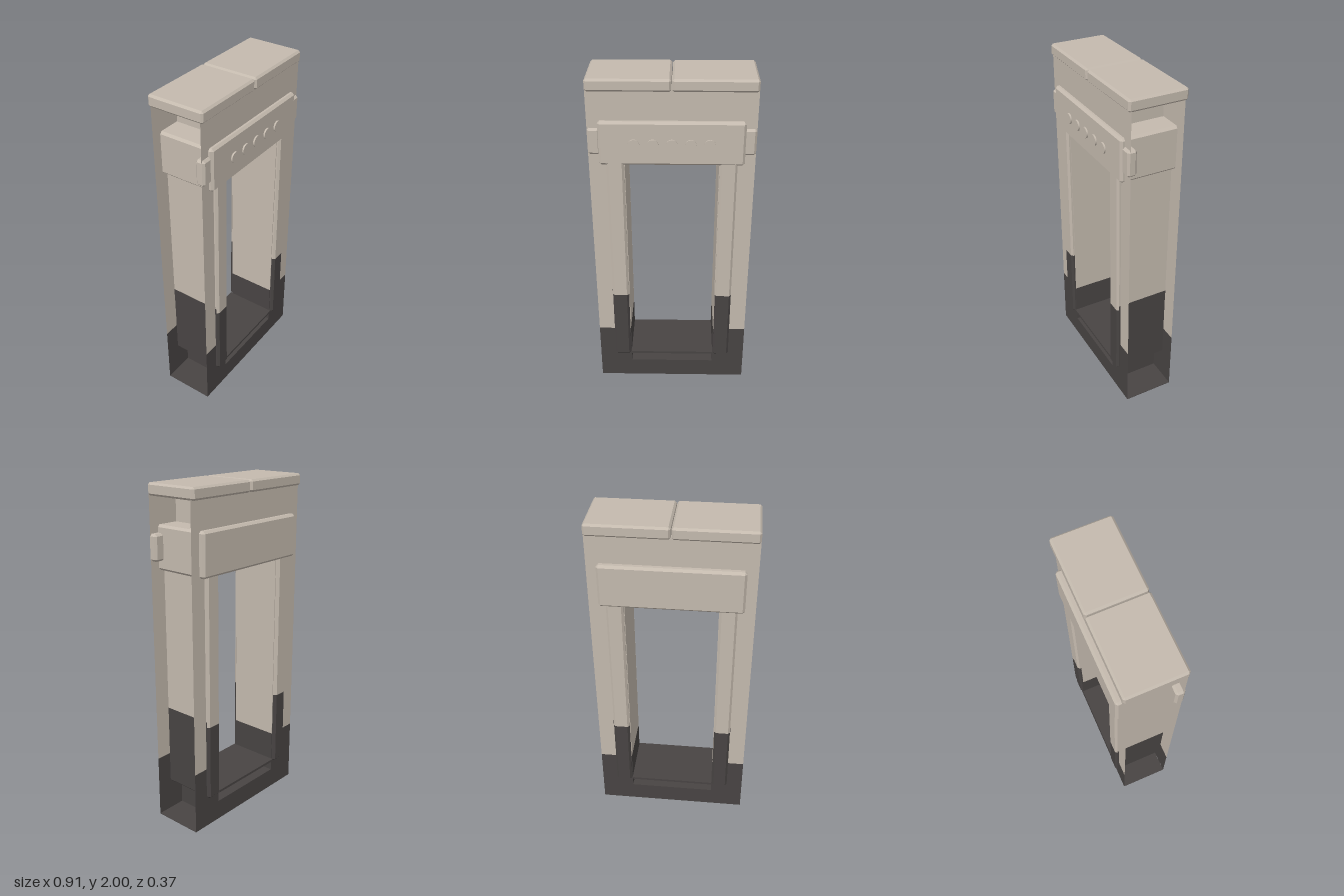
import * as THREE from 'three';
import { ConvexGeometry } from 'three/addons/geometries/ConvexGeometry.js';

const beige = new THREE.MeshStandardMaterial({ name: 'warmBeige', color: 0xc4baae, side: THREE.DoubleSide });
const dark = new THREE.MeshStandardMaterial({ name: 'charcoal', color: 0x484443, side: THREE.DoubleSide });

// Box given by its limits, with chamfered edges; bottom and top chamfers are optional
function chamferBox([x0, x1], [y0, y1], [z0, z1], c, bottom = true, top = true) {
  const points = [];
  const ring = (y, inset) => {
    for (const [x, sx] of [[x0, 1], [x1, -1]]) {
      for (const [z, sz] of [[z0, 1], [z1, -1]]) {
        if (inset) {
          points.push(new THREE.Vector3(x + sx * c, y, z + sz * c));
        } else {
          points.push(new THREE.Vector3(x + sx * c, y, z), new THREE.Vector3(x, y, z + sz * c));
        }
      }
    }
  };
  if (bottom) ring(y0, true);
  ring(bottom ? y0 + c : y0, false);
  ring(top ? y1 - c : y1, false);
  if (top) ring(y1, true);
  return new ConvexGeometry(points);
}

function box([x0, x1], [y0, y1], [z0, z1]) {
  return new THREE.BoxGeometry(x1 - x0, y1 - y0, z1 - z0)
    .translate((x0 + x1) / 2, (y0 + y1) / 2, (z0 + z1) / 2);
}

function plate(points) {
  return new THREE.ShapeGeometry(new THREE.Shape(points.map(([x, y]) => new THREE.Vector2(x, y))));
}

export function createModel() {
  const model = new THREE.Group();
  model.name = 'walkThroughGate';
  const add = (name, geometry, material, parent = model) => {
    const mesh = new THREE.Mesh(geometry, material);
    mesh.name = name;
    parent.add(mesh);
    return mesh;
  };

  const W = 0.453, IN = 0.257, SPLIT = 0.38;
  const depth = [-0.153, 0.149];

  // Front and back frame sheets, dark at the foot
  const upper = plate([[-W, SPLIT], [-IN, SPLIT], [-IN, 1.53], [IN, 1.53], [IN, SPLIT], [W, SPLIT], [W, 1.94], [-W, 1.94]]);
  const lower = plate([[-W, 0], [W, 0], [W, SPLIT], [IN, SPLIT], [IN, 0.12], [-IN, 0.12], [-IN, SPLIT], [-W, SPLIT]]);
  for (const [side, z] of [['front', 0.15], ['back', -0.154]]) {
    for (const [part, geometry, material] of [['FrameUpper', upper, beige], ['FrameFoot', lower, dark]]) {
      const mesh = add(side + part, geometry, material);
      mesh.position.z = z;
      if (side === 'back') mesh.rotation.y = Math.PI;
    }
  }

  // Base sheet and the core blocks between the frame sheets
  add('baseSheet', box([-W, W], [0, 0.003], depth), dark);
  add('baseCore', box([-IN, IN], [0.003, 0.12], depth), dark);
  add('topCore', box([-IN, IN], [1.53, 1.935], depth), beige);
  add('threshold', box([-IN, IN], [0.185, 0.2], [-0.165, 0.16]), dark);

  // Pillars, passage walls and side knobs, mirrored
  for (const s of [1, -1]) {
    const group = new THREE.Group();
    group.name = s > 0 ? 'leftPillar' : 'rightPillar';
    model.add(group);
    const span = (a, b) => (s > 0 ? [a, b] : [-b, -a]);
    const px = span(0.26, 0.357), pz = [-0.175, 0.171];
    add('pillarUpper', chamferBox(px, [0.65, 1.54], pz, 0.012, false, false), beige, group);
    add('pillarFoot', chamferBox(px, [0.187, 0.65], pz, 0.012, true, false), dark, group);
    add('pillarFootEdge', box(span(0.356, 0.3585), [0.64, 0.682], [-0.163, 0.159]), dark, group);
    add('wallUpper', box(span(IN, 0.264), [SPLIT, 1.53], depth), beige, group);
    add('wallFoot', box(span(IN, 0.264), [0.003, SPLIT], depth), dark, group);
    add('sideKnob', chamferBox(span(0.385, W), [1.58, 1.73], [0.11, 0.165], 0.012), beige, group);
    // Roof cap half, chamfered so a groove forms in the middle
    add('roofCap', chamferBox(span(0.002, W), [1.932, 2], [-0.175, 0.163], 0.011), beige, group);
  }

  // Control header with a row of buttons
  add('header', chamferBox([-0.395, 0.395], [1.522, 1.773], [-0.187, 0.175], 0.013), beige);
  for (let i = -2; i <= 2; i++) {
    const button = add('button', new THREE.CylinderGeometry(0.031, 0.031, 0.016, 24), beige);
    button.rotation.x = Math.PI / 2;
    button.position.set(i * 0.102, 1.645, 0.176);
  }
  return model;
}
